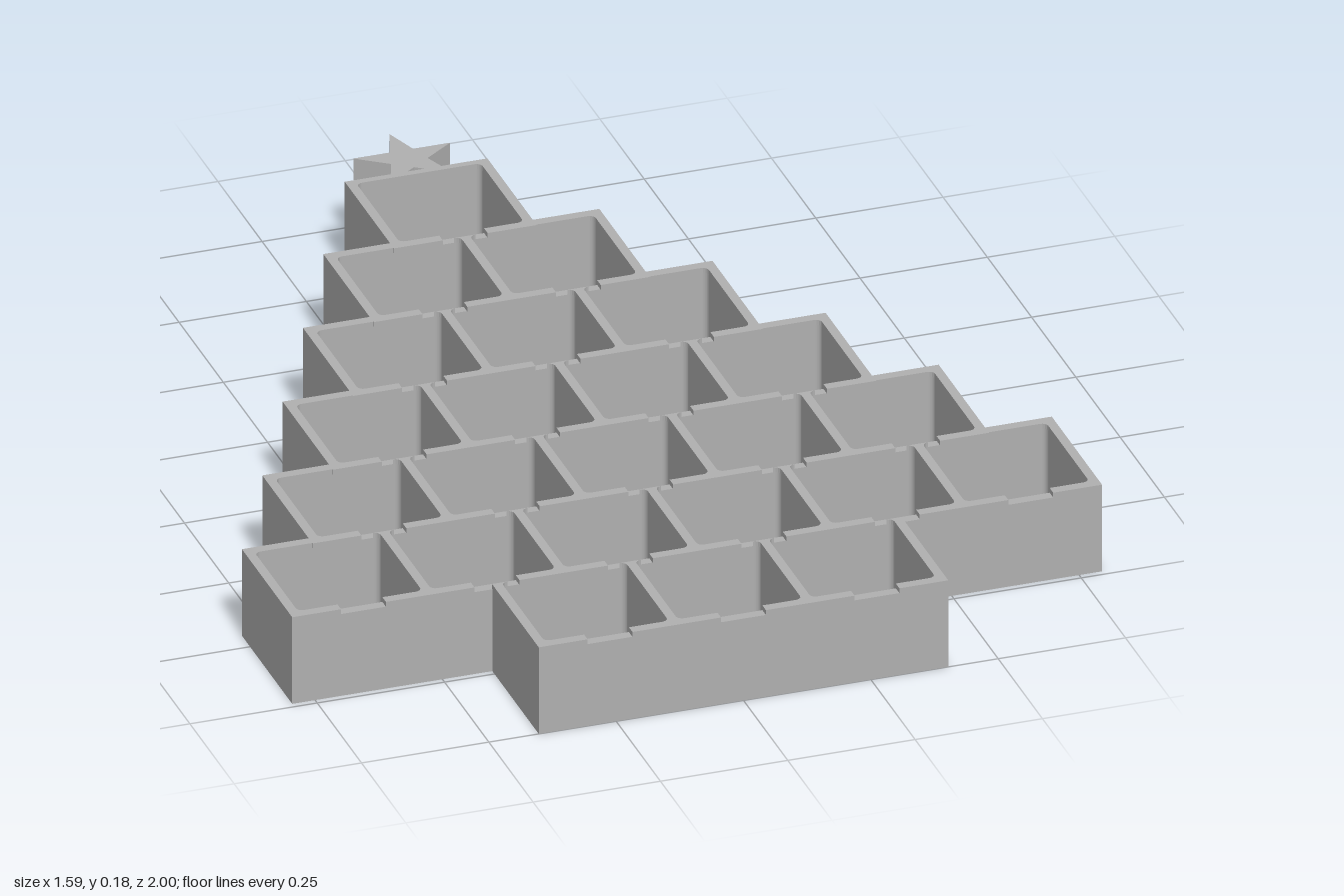
import * as THREE from 'three';

const PITCH = 0.262, CELL = 0.122, EDGE = 0.142, HALF_WALL = 0.009, ROUND = 0.012;
const HEIGHT = 0.182, NOTCH_Y = 0.172, FLOOR = 0.018, NOTCH_HALF = 0.044;
const ROWS = [1, 2, 3, 4, 5, 6, 3]; // compartments per row, back to front
const rowZ = (i) => -0.714 + PITCH * i;
const halfWidth = (n) => (n * PITCH) / 2 + HALF_WALL;

export function createModel() {
  const group = new THREE.Group();
  const grey = new THREE.MeshStandardMaterial({ color: 0xb0b0b0 });

  // Plan shapes are drawn with y = -z and extruded upwards
  function add(name, shape, y0, y1) {
    const geo = new THREE.ExtrudeGeometry(shape, { depth: y1 - y0, bevelEnabled: false, curveSegments: 4 });
    geo.rotateX(-Math.PI / 2).translate(0, y0, 0);
    const mesh = new THREE.Mesh(geo, grey);
    mesh.name = name;
    group.add(mesh);
  }
  const polygon = (pts) => new THREE.Shape(pts.map(([x, z]) => new THREE.Vector2(x, -z)));
  const rect = (x0, x1, z0, z1) => polygon([[x0, z1], [x1, z1], [x1, z0], [x0, z0]]);

  // Stepped tree outline
  function outline() {
    const right = [];
    ROWS.forEach((n, i) => {
      const z0 = i === 0 ? -0.85 : i === 6 ? rowZ(5) + EDGE : rowZ(i) - EDGE;
      const z1 = i >= 5 ? rowZ(i) + EDGE : rowZ(i + 1) - EDGE;
      right.push([halfWidth(n), z0], [halfWidth(n), z1]);
    });
    const left = right.map(([x, z]) => [-x, z]).reverse();
    return polygon([...right, ...left]);
  }

  // Compartment opening with small rounded corners
  function opening(cx, cz) {
    const p = new THREE.Path(), a = CELL, b = CELL - ROUND, y = -cz;
    p.absarc(cx + b, y + b, ROUND, 0, Math.PI / 2);
    p.absarc(cx - b, y + b, ROUND, Math.PI / 2, Math.PI);
    p.absarc(cx - b, y - b, ROUND, Math.PI, Math.PI * 1.5);
    p.absarc(cx + b, y - b, ROUND, Math.PI * 1.5, Math.PI * 2);
    p.lineTo(cx + a, y + b);
    return p;
  }

  add('floor', outline(), 0, FLOOR);
  const walls = outline();
  ROWS.forEach((n, i) => {
    for (let c = 0; c < n; c++) walls.holes.push(opening((c - (n - 1) / 2) * PITCH, rowZ(i)));
  });
  add('compartmentWalls', walls, FLOOR, NOTCH_Y);

  // One side of a divider: filleted wall plus an arm of the front wall up to the notch
  function dividerSide(hasArm, z) {
    const w = HALF_WALL, back = z - CELL, front = z + CELL, end = z + EDGE;
    if (!hasArm) return [[w, back], [w, end]];
    const pts = [], k = ROUND;
    const corner = (zc, dir) => [0, 1, 2, 3, 4].map((j) => {
      const t = (j / 4) * Math.PI / 2;
      return [w + k - k * Math.sin(t), zc + dir * (k - k * Math.cos(t))];
    });
    pts.push(...corner(back, 1), ...corner(front, -1).reverse());
    pts.push([PITCH / 2 - NOTCH_HALF, front], [PITCH / 2 - NOTCH_HALF, end]);
    return pts;
  }

  // Raised rim between the finger notches
  ROWS.forEach((n, i) => {
    const z = rowZ(i);
    for (let b = 0; b <= n; b++) {
      const x = (b - n / 2) * PITCH;
      const right = dividerSide(b < n, z).map(([px, pz]) => [x + px, pz]);
      const left = dividerSide(b > 0, z).map(([px, pz]) => [x - px, pz]).reverse();
      add('dividerRim', polygon([...right, ...left]), NOTCH_Y, HEIGHT);
    }
    // Exposed back wall of each row
    const h = halfWidth(n);
    if (i === 0) add('backRim', rect(-h, h, -0.85, z - CELL), NOTCH_Y, HEIGHT);
    else if (i < 6) {
      const inner = halfWidth(n - 1);
      add('backRim', rect(inner, h, z - EDGE, z - CELL), NOTCH_Y, HEIGHT);
      add('backRim', rect(-h, -inner, z - EDGE, z - CELL), NOTCH_Y, HEIGHT);
    }
  });

  // Star on the tree top, its two lower points merging into the back wall
  const half = [[0, -1], [0.0225, -0.931], [0.095, -0.931], [0.036, -0.888], [0.05, -0.849], [0.018, -0.849]];
  const mirrored = half.slice(1).map(([x, z]) => [-x, z]).reverse();
  add('star', polygon([...half, [0, -0.862], ...mirrored]), 0, HEIGHT);

  return group;
}
